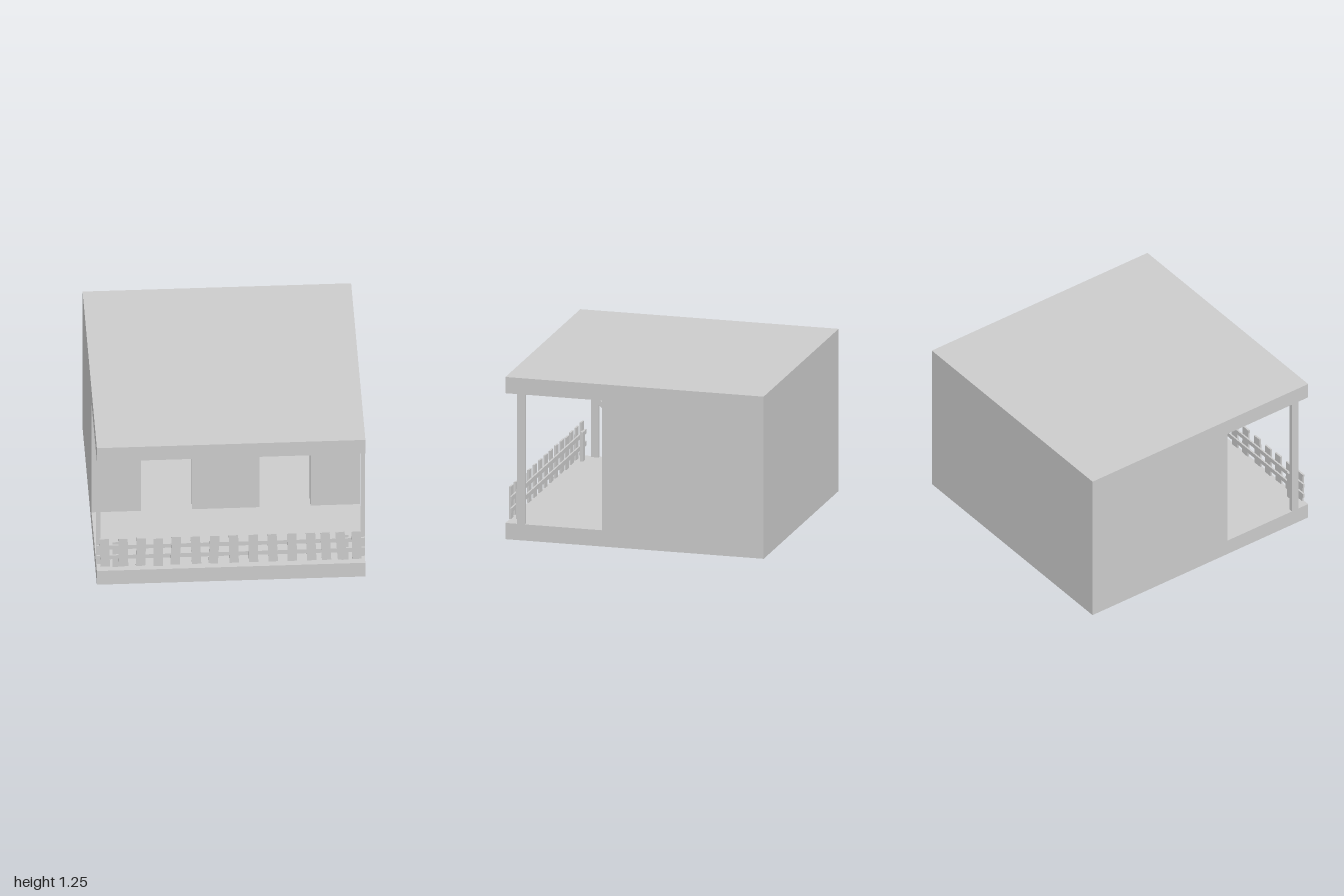
import * as THREE from 'three';

const material = new THREE.MeshStandardMaterial({ color: 0xcccccc, flatShading: true });

function add(parent, name, geometry, x = 0, y = 0, z = 0) {
  const mesh = new THREE.Mesh(geometry, material);
  mesh.name = name;
  mesh.position.set(x, y, z);
  parent.add(mesh);
  return mesh;
}

// Box given by its limits on each axis
function block(parent, name, [x0, x1], [y0, y1], [z0, z1]) {
  return add(parent, name, new THREE.BoxGeometry(x1 - x0, y1 - y0, z1 - z0),
    (x0 + x1) / 2, (y0 + y1) / 2, (z0 + z1) / 2);
}

function polygon(points) {
  return new THREE.Shape(points.map(([x, y]) => new THREE.Vector2(x, y)));
}

export function createModel() {
  const model = new THREE.Group();
  model.name = 'porchHouse';
  const T = 0.125, floor = T, ceiling = 1.125, front = 0.25;
  const storey = [floor, ceiling];

  // Floor and flat roof
  block(model, 'floorSlab', [-1, 1], [0, T], [-1, 1]);
  block(model, 'roofSlab', [-1, 1], [ceiling, 1.25], [-1, 1]);

  // Two hollow rooms behind the porch
  const walls = new THREE.Group();
  walls.name = 'walls';
  model.add(walls);
  block(walls, 'leftWall', [1 - T, 1], storey, [-1, front]);
  block(walls, 'rightWall', [-1, T - 1], storey, [-1, front]);
  block(walls, 'backWall', [T - 1, 1 - T], storey, [-1, T - 1]);
  block(walls, 'partition', [-T / 2, T / 2], storey, [T - 1, front - T]);

  // Front wall with two low doorways reaching the floor
  const inner = 1 - T, head = 0.63;
  const frontShape = polygon([
    [-inner, floor], [-0.63, floor], [-0.63, head], [-0.25, head], [-0.25, floor],
    [0.25, floor], [0.25, head], [0.63, head], [0.63, floor], [inner, floor],
    [inner, ceiling], [-inner, ceiling],
  ]);
  add(walls, 'frontWall',
    new THREE.ExtrudeGeometry(frontShape, { depth: T, bevelEnabled: false }), 0, 0, front - T);

  // Slim porch posts
  block(model, 'leftPorchPost', [0.97, 1], storey, [0.85, 0.91]);
  block(model, 'rightPorchPost', [-1, -0.97], storey, [0.85, 0.91]);

  // Diagonal roof braces; the profile lies in the z-y plane
  const braceShape = polygon([[front, 0.88], [0.505, ceiling], [0.455, ceiling], [front, 0.925]]);
  const braceGeometry = new THREE.ExtrudeGeometry(braceShape, { depth: 0.05, bevelEnabled: false });
  braceGeometry.translate(0, 0, -0.025).rotateY(-Math.PI / 2);
  for (const x of [-0.65, 0, 0.65]) add(model, 'roofBrace', braceGeometry, x);

  // Fence: posts, two rails and slightly crooked pickets
  const fence = new THREE.Group();
  fence.name = 'fence';
  model.add(fence);
  block(fence, 'fencePost', [-0.88, -0.83], [floor, 0.35], [0.93, 0.953]);
  block(fence, 'fencePost', [0.825, 0.875], [floor, 0.35], [0.93, 0.953]);
  block(fence, 'fenceRail', [-1, 1], [0.205, 0.24], [0.953, 0.966]);
  block(fence, 'fenceRail', [-1, 1], [0.295, 0.33], [0.953, 0.966]);

  // Each picket: centre x, centre y, lean
  const pickets = [
    [-0.94, 0.275, 0.03], [-0.802, 0.272, 0.02], [-0.67, 0.272, -0.03], [-0.541, 0.265, 0],
    [-0.411, 0.274, -0.04], [-0.261, 0.274, 0.04], [-0.126, 0.274, -0.05], [0.021, 0.274, 0.02],
    [0.167, 0.274, 0.01], [0.31, 0.274, 0.04], [0.455, 0.274, 0.02], [0.597, 0.274, 0.04],
    [0.706, 0.274, 0.05], [0.821, 0.274, 0.08], [0.936, 0.274, 0.02],
  ];
  const picketGeometry = new THREE.BoxGeometry(0.07, 0.25, 0.014);
  for (const [x, y, lean] of pickets) {
    add(fence, 'picket', picketGeometry, x, y, 0.973).rotation.z = lean;
  }

  return model;
}
